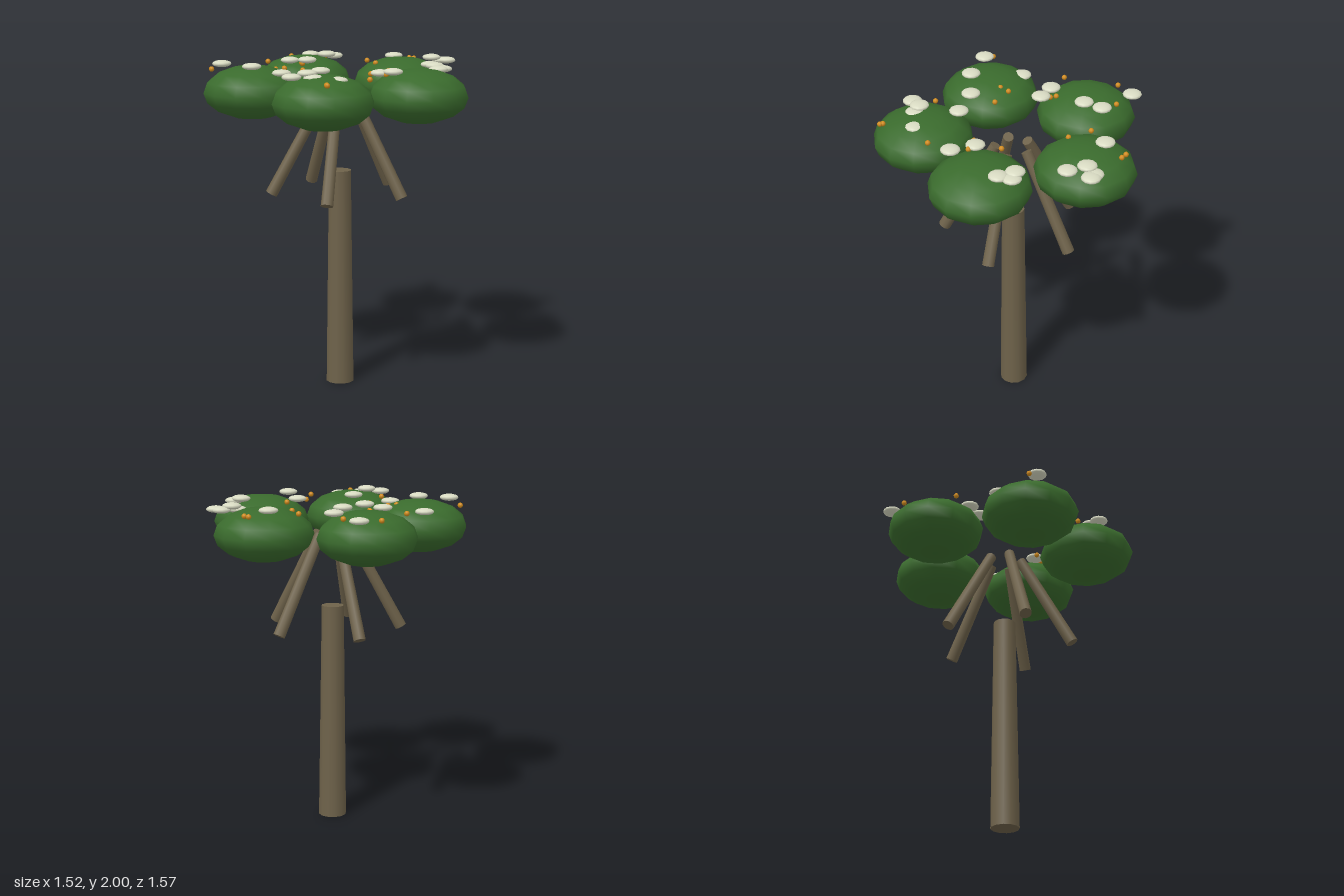
import * as THREE from 'three';

const mat = (name, color) => new THREE.MeshStandardMaterial({ name, color });

export function createModel() {
  const bark = mat('bark', 0x6e624a);
  const leaf = mat('leaf green', 0x3a6b2d);
  const cream = mat('blossom cream', 0xd8dac2);
  const amber = mat('fruit amber', 0xd28c1c);

  const tree = new THREE.Group();
  tree.name = 'tree';
  const axisX = -0.05; // trunk axis
  const add = (name, geometry, material, x, y, z, parent = tree) => {
    const mesh = new THREE.Mesh(geometry, material);
    mesh.name = name;
    mesh.position.set(x, y, z);
    parent.add(mesh);
    return mesh;
  };

  // Tapered trunk
  add('trunk', new THREE.CylinderGeometry(0.068, 0.086, 1.33, 12), bark, axisX, 0.665, 0);

  // Five branches leaning in to the axis, each with a flattened leaf cluster
  const crownGeo = new THREE.SphereGeometry(0.293, 12, 8).scale(1, 0.54, 1);
  const up = new THREE.Vector3(0, 1, 0);
  for (let i = 0; i < 5; i++) {
    const a = (i / 5) * Math.PI * 2;
    const at = (r, y) => new THREE.Vector3(axisX + Math.cos(a) * r, y, Math.sin(a) * r);
    const low = at(0.415, 1.195), high = at(0.1, 1.77);
    const dir = high.clone().sub(low);
    const mid = low.clone().add(high).multiplyScalar(0.5);
    const branch = add('branch', new THREE.CylinderGeometry(0.032, 0.037, dir.length(), 10),
      bark, mid.x, mid.y, mid.z);
    branch.quaternion.setFromUnitVectors(up, dir.normalize());
    const c = at(0.517, 1.812);
    add('leafCluster', crownGeo, leaf, c.x, c.y, c.z);
  }

  // Flat blossoms on the clusters: x, y, z
  const blossoms = new THREE.Group();
  blossoms.name = 'blossoms';
  tree.add(blossoms);
  const blossomGeo = new THREE.SphereGeometry(0.057, 12, 8).scale(1, 0.36, 1);
  [
    [-0.605, 1.98, -0.42], [-0.545, 1.975, -0.22], [-0.435, 1.94, -0.085], [-0.355, 1.92, -0.47],
    [-0.085, 1.96, -0.405], [-0.06, 1.97, -0.275], [0.185, 1.98, -0.365], [0.285, 1.96, -0.405],
    [0.32, 1.945, -0.66], [0.52, 1.965, -0.11], [0.5, 1.938, 0.215], [0.585, 1.97, 0.15],
    [0.645, 1.95, 0.17], [0.655, 1.952, 0.21],
  ].forEach(p => add('blossom', blossomGeo, cream, ...p, blossoms));
  [
    [-0.05, 1.945, 0.335], [-0.1, 1.97, 0.49], [0.255, 1.955, 0.51], [0.31, 1.965, 0.43],
    [0.325, 1.95, 0.48], [-0.625, 1.96, 0.215], [-0.54, 1.978, 0.25], [-0.535, 1.955, 0.295],
    [-0.335, 1.965, 0.14], [-0.445, 1.943, 0.4],
  ].forEach(p => add('blossom', blossomGeo, cream, ...p, blossoms));

  // Small fruits, all at one height: x, z
  const fruits = new THREE.Group();
  fruits.name = 'fruits';
  tree.add(fruits);
  const fruitGeo = new THREE.SphereGeometry(0.016, 8, 6);
  [
    [-0.61, -0.51], [-0.34, -0.245], [-0.275, -0.24], [-0.26, -0.095],
    [0.19, -0.7], [-0.115, -0.575], [0.31, -0.515], [-0.02, -0.37], [-0.04, -0.34],
    [0.365, -0.19], [0.305, -0.055], [0.66, -0.11], [0.66, -0.07],
    [0.085, 0.27], [-0.09, 0.3], [-0.055, 0.39],
    [-0.54, 0.11], [-0.61, 0.485], [-0.62, 0.5], [-0.275, 0.48],
  ].forEach(([x, z]) => add('fruit', fruitGeo, amber, x, 1.94, z, fruits));

  return tree;
}
